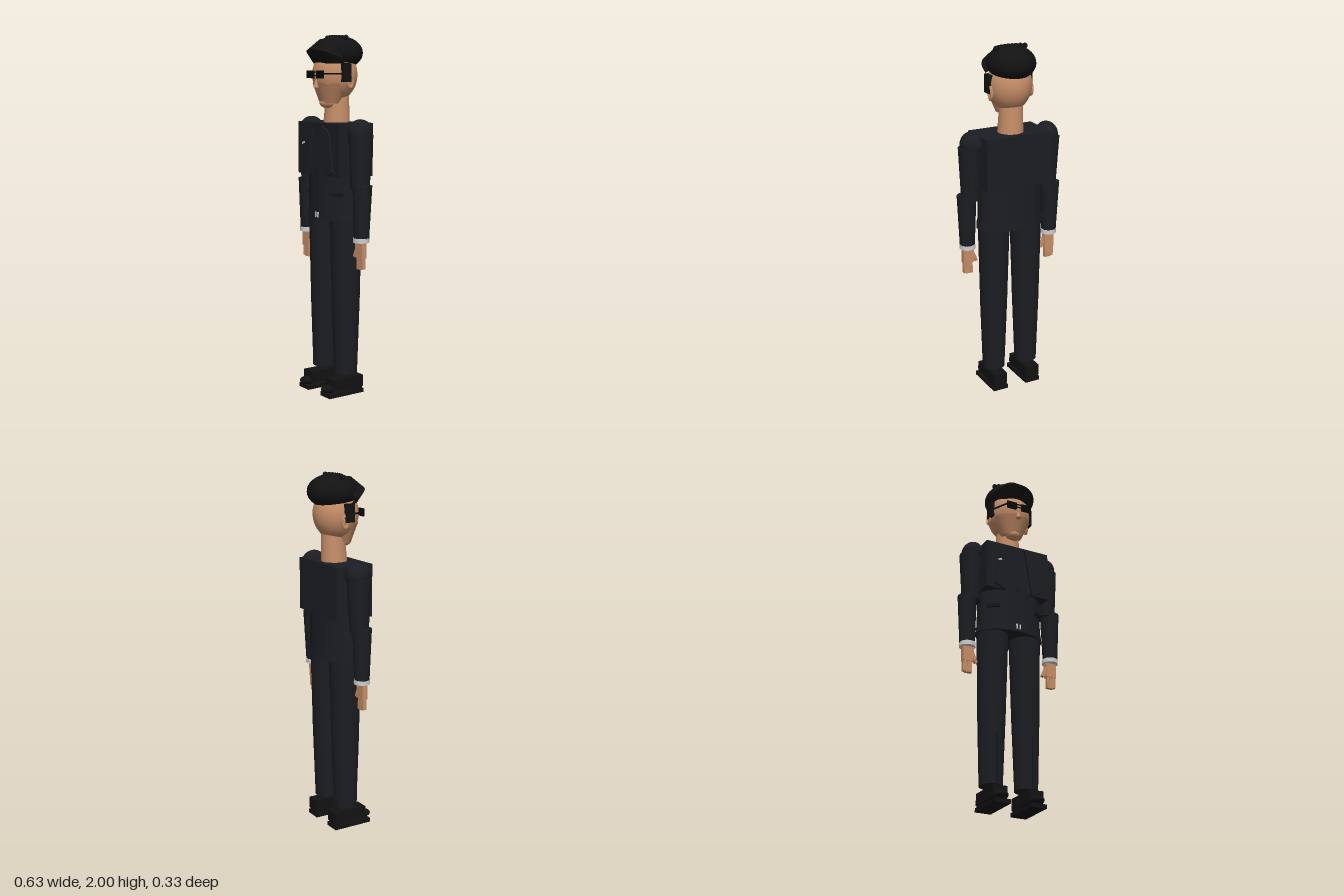
import * as THREE from 'three';

const mat = (color, extra = {}) => {
  const m = new THREE.MeshStandardMaterial({ color });
  return Object.assign(m, extra);
};

export function createModel() {
  const root = new THREE.Group();
  root.name = 'suitedMan';
  const suit = mat(0x1b1d22), trim = mat(0x141519), hair = mat(0x121212);
  const skin = mat(0xc68e68), white = mat(0xdddddd), black = mat(0x080808);
  const quiffMat = mat(0x121212, { side: THREE.DoubleSide, flatShading: true });

  const add = (name, geo, material, x, y, z, parent = root) => {
    const m = new THREE.Mesh(geo, material);
    m.name = name;
    m.position.set(x, y, z);
    parent.add(m);
    return m;
  };
  const box = (name, w, h, d, material, x, y, z, parent) =>
    add(name, new THREE.BoxGeometry(w, h, d), material, x, y, z, parent);
  const ball = (name, rx, ry, rz, material, x, y, z, parent) =>
    add(name, new THREE.SphereGeometry(1, 24, 16).scale(rx, ry, rz), material, x, y, z, parent);
  // Tapered tube between two heights, with its own x and z at each end
  const limb = (name, rTop, rBot, top, bottom, material, parent, depth = 1, segs = 20) => {
    const h = top[1] - bottom[1];
    const g = new THREE.CylinderGeometry(rTop, rBot, h, segs).scale(1, 1, depth);
    const p = g.attributes.position;
    for (let i = 0; i < p.count; i++) {
      const t = p.getY(i) / h + 0.5;
      p.setX(i, p.getX(i) + bottom[0] + (top[0] - bottom[0]) * t);
      p.setZ(i, p.getZ(i) + bottom[2] + (top[2] - bottom[2]) * t);
    }
    return add(name, g, material, 0, (top[1] + bottom[1]) / 2, 0, parent);
  };

  // Jacket
  box('chest', 0.39, 0.29, 0.228, suit, 0, 1.38, -0.005);
  limb('waist', 0.188, 0.192, [0, 1.28, -0.005], [0, 1.02, -0.005], suit, root, 0.63, 32);
  limb('jacketHem', 0.196, 0.2, [0, 1.03, -0.005], [0, 0.99, -0.005], suit, root, 0.62, 32);
  box('jacketOpening', 0.004, 0.23, 0.004, trim, 0, 1.15, 0.114);
  for (const s of [-1, 1]) {
    box('beltBuckleBar', 0.007, 0.03, 0.006, white, s * 0.01, 1.018, 0.119);
    const lapel = new THREE.Shape([[0.04, 1.51], [0.11, 1.48], [0.148, 1.26], [0.085, 1.235]]
      .map(([x, y]) => new THREE.Vector2(s * x, y)));
    add('lapel', new THREE.ExtrudeGeometry(lapel, { depth: 0.016, bevelEnabled: false }),
      suit, 0, 0, 0.106);
    const flap = box('pocketFlap', 0.07, 0.02, 0.012, trim, s * 0.14, 1.135, 0.084);
    flap.rotation.y = s * 0.6;
  }
  const pin = box('lapelPin', 0.022, 0.009, 0.006, white, -0.12, 1.41, 0.127);
  pin.rotation.z = 0.4;

  for (const s of [-1, 1]) {
    // Arm with cuff and hand
    const arm = new THREE.Group();
    arm.name = s > 0 ? 'leftArm' : 'rightArm';
    root.add(arm);
    ball('shoulder', 0.062, 0.07, 0.072, suit, s * 0.231, 1.48, -0.005, arm);
    limb('upperArm', 0.068, 0.052, [s * 0.238, 1.465, -0.005], [s * 0.238, 1.17, 0], suit, arm, 1, 16);
    limb('forearm', 0.054, 0.042, [s * 0.262, 1.195, 0.002], [s * 0.26, 0.908, 0.005], suit, arm, 1, 16);
    limb('cuff', 0.044, 0.045, [s * 0.258, 0.91, 0.006], [s * 0.258, 0.885, 0.006], white, arm, 1, 20);
    box('palm', 0.062, 0.09, 0.03, skin, s * 0.257, 0.845, 0.007, arm);
    for (let i = 0; i < 4; i++)
      box('finger', 0.0125, 0.075 - (i === 3 ? 0.008 : 0), 0.022, skin,
        s * (0.239 + i * 0.0135), 0.773, 0.007, arm);
    const thumb = box('thumb', 0.016, 0.065, 0.02, skin, s * 0.219, 0.83, 0.008, arm);
    thumb.rotation.z = -s * 0.4;

    // Leg and shoe
    const leg = new THREE.Group();
    leg.name = s > 0 ? 'leftLeg' : 'rightLeg';
    root.add(leg);
    limb('thigh', 0.09, 0.078, [s * 0.1, 1.02, -0.005], [s * 0.103, 0.54, -0.004], suit, leg);
    limb('shin', 0.079, 0.064, [s * 0.103, 0.56, -0.004], [s * 0.105, 0.12, -0.003], suit, leg);
    box('trouserCrease', 0.005, 0.27, 0.006, trim, s * 0.105, 0.265, 0.072, leg);
    box('shoeUpper', 0.083, 0.065, 0.205, hair, s * 0.105, 0.067, 0.008, leg);
    ball('shoeToe', 0.041, 0.023, 0.055, hair, s * 0.105, 0.045, 0.106, leg);
    box('shoeSole', 0.092, 0.022, 0.235, hair, s * 0.105, 0.011, 0.022, leg);
    box('shoeHeel', 0.075, 0.02, 0.07, hair, s * 0.105, 0.027, -0.055, leg);
  }

  // Neck and head
  const head = new THREE.Group();
  head.name = 'head';
  root.add(head);
  limb('neck', 0.064, 0.073, [0, 1.68, -0.022], [0, 1.5, -0.012], skin, head);
  ball('skull', 0.122, 0.145, 0.127, skin, 0, 1.785, -0.003, head);
  limb('jaw', 0.112, 0.06, [0, 1.74, 0.022], [0, 1.63, 0.032], skin, head, 0.88, 24);
  ball('chin', 0.042, 0.03, 0.045, skin, 0, 1.632, 0.046, head);
  const nose = add('nose', new THREE.ConeGeometry(0.016, 0.06, 8), skin, 0, 1.745, 0.121, head);
  nose.rotation.x = -0.1;
  for (const s of [-1, 1]) {
    const ear = add('ear', new THREE.TorusGeometry(0.018, 0.006, 8, 20).scale(1, 1.75, 1.4),
      skin, s * 0.122, 1.75, -0.018, head);
    ear.rotation.y = Math.PI / 2;
    ball('earInner', 0.009, 0.032, 0.018, skin, s * 0.117, 1.75, -0.018, head);
    box('sideburn', 0.022, 0.1, 0.055, hair, s * 0.122, 1.797, 0.008, head);
  }

  // Sunglasses
  const glasses = new THREE.Group();
  glasses.name = 'sunglasses';
  head.add(glasses);
  for (const s of [-1, 1]) {
    box('lens', 0.06, 0.042, 0.012, black, s * 0.046, 1.787, 0.128, glasses);
    const temple = box('temple', 0.006, 0.008, 0.125, black, s * 0.101, 1.79, 0.075, glasses);
    temple.rotation.y = -s * 0.45;
  }
  for (const y of [1.782, 1.8])
    box('bridge', 0.036, 0.005, 0.006, black, 0, y, 0.13, glasses);

  // Hair: cap, clipped flat below along a slightly tilted hairline
  const cap = new THREE.SphereGeometry(1, 32, 20).scale(0.131, 0.094, 0.143);
  const cp = cap.attributes.position;
  for (let i = 0; i < cp.count; i++)
    cp.setY(i, Math.max(cp.getY(i), -0.068 + 0.1 * cp.getZ(i)));
  cap.computeVertexNormals();
  add('hairCap', cap, hair, 0, 1.904, -0.022, head);

  // Quiff: a wedge section swept round the brow
  const pos = [], idx = [], n = 20;
  for (let i = 0; i <= n; i++) {
    const a = (i / n - 0.5) * 3, s = Math.sin(a), c = Math.cos(a);
    pos.push(0.085 * s, 1.978 - 0.04 * (1 - c), 0.085 * c);
    pos.push(0.135 * s, 1.922 - 0.055 * (1 - c), 0.03 + 0.127 * c);
    pos.push(0.125 * s, 1.845, 0.01 + 0.095 * c);
    if (i < n) for (let k = 0; k < 2; k++) {
      const b = i * 3 + k;
      idx.push(b, b + 1, b + 3, b + 1, b + 4, b + 3);
    }
  }
  const quiff = new THREE.BufferGeometry();
  quiff.setAttribute('position', new THREE.Float32BufferAttribute(pos, 3));
  quiff.setIndex(idx);
  quiff.computeVertexNormals();
  add('quiff', quiff, quiffMat, 0, 0, 0, head);

  // Row of curls along the crown
  for (let i = -4; i <= 4; i++) {
    if (Math.abs(i) === 1) continue;
    const x = i * 0.0215;
    ball('curl', 0.015, 0.015, 0.015, hair, x, 1.985, 0.008 - 3.2 * x * x, head);
  }
  for (const s of [-1, 1])
    ball('curl', 0.015, 0.015, 0.015, hair, s * 0.0215, 1.985, 0.005, head);

  return root;
}
